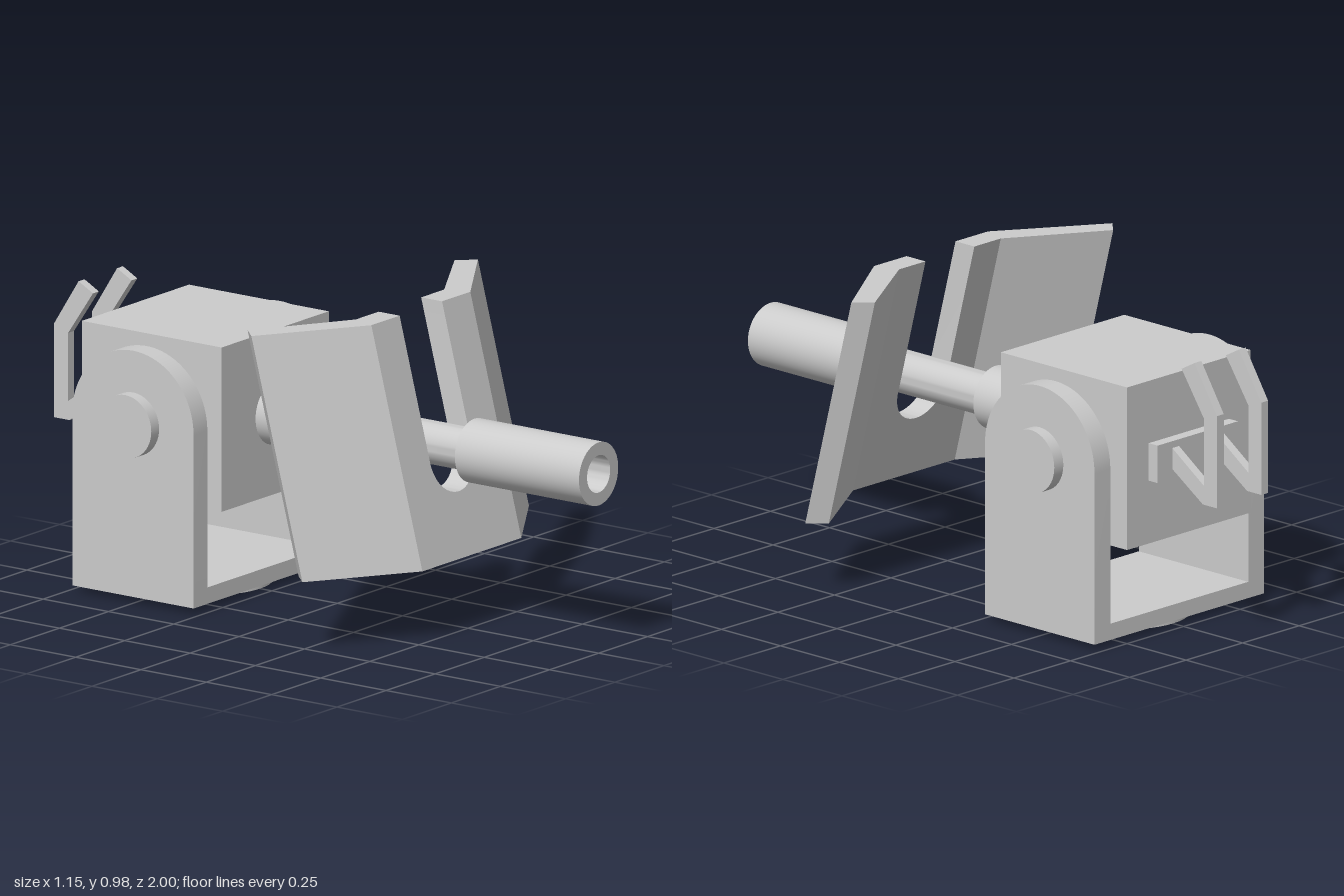
import * as THREE from 'three';
import { toCreasedNormals } from 'three/addons/utils/BufferGeometryUtils.js';

const PIVOT_Y = 0.567, PIVOT_Z = -0.5;
const SHIELD_BOTTOM = 0.235, SHIELD_TOP = 0.983, SHIELD_SLOPE = 0.261;

export function createModel() {
  const model = new THREE.Group();
  const material = new THREE.MeshStandardMaterial({ color: 0xcccccc });

  function add(name, geometry, x = 0, y = 0, z = 0) {
    const mesh = new THREE.Mesh(geometry, material);
    mesh.name = name;
    mesh.position.set(x, y, z);
    model.add(mesh);
    return mesh;
  }
  const polygon = (points) => new THREE.Shape(points.map(([x, y]) => new THREE.Vector2(x, y)));
  const extrude = (shape, depth) =>
    new THREE.ExtrudeGeometry(shape, { depth, bevelEnabled: false, curveSegments: 24 });
  // Side profile drawn as (-z, y), extruded along x and centred
  const sideways = (shape, width) =>
    toCreasedNormals(extrude(shape, width).translate(0, 0, -width / 2).rotateY(Math.PI / 2), 0.5);
  // Lean a shield part backwards, keeping its top and bottom level
  function lean(geometry) {
    const p = geometry.attributes.position;
    for (let i = 0; i < p.count; i++) {
      p.setZ(i, p.getZ(i) - SHIELD_SLOPE * (p.getY(i) - SHIELD_BOTTOM));
    }
    return toCreasedNormals(geometry, 0.5);
  }

  // Base disc and U-shaped bracket
  add('baseDisc', new THREE.CylinderGeometry(0.205, 0.205, 0.02, 48), 0, 0.01, PIVOT_Z);
  add('bracketFloor', new THREE.BoxGeometry(0.61, 0.052, 0.464), 0, 0.046, PIVOT_Z);
  const arm = new THREE.Shape();
  arm.moveTo(-0.232, 0.02);
  arm.lineTo(0.232, 0.02);
  arm.lineTo(0.232, PIVOT_Y);
  arm.absarc(0, PIVOT_Y, 0.232, 0, Math.PI, false);
  arm.closePath();
  const armGeometry = sideways(arm, 0.07);
  for (const [side, s] of [['left', 1], ['right', -1]]) {
    add(side + 'BracketArm', armGeometry, s * 0.34, 0, PIVOT_Z);
  }
  add('pivotPin', new THREE.CylinderGeometry(0.1, 0.1, 0.83, 48).rotateZ(Math.PI / 2), 0, PIVOT_Y, PIVOT_Z);

  // Receiver box
  add('receiver', new THREE.BoxGeometry(0.546, 0.52, 0.535), 0, 0.569, -0.505);

  // Stepped barrel with a stepped bore
  const barrel = [
    [0.1, -0.24], [0.1, 0.045], [0.067, 0.045], [0.067, 0.525], [0.1, 0.525], [0.1, 1],
    [0.059, 1], [0.059, 0.75], [0.04, 0.75], [0.04, 0.55], [0, 0.55],
  ].map(([r, z]) => new THREE.Vector2(r, z));
  add('barrel', toCreasedNormals(new THREE.LatheGeometry(barrel, 48).rotateX(Math.PI / 2), 0.5), 0, PIVOT_Y, 0);

  // Shield centre panel, slotted for the barrel
  const slot = 0.108, slotY = 0.536;
  const panel = new THREE.Shape();
  panel.moveTo(-0.252, SHIELD_BOTTOM);
  panel.lineTo(0.252, SHIELD_BOTTOM);
  panel.lineTo(0.252, SHIELD_TOP);
  panel.lineTo(slot, SHIELD_TOP);
  panel.lineTo(slot, slotY);
  panel.absarc(0, slotY, slot, 0, Math.PI, true);
  panel.lineTo(-slot, SHIELD_TOP);
  panel.lineTo(-0.252, SHIELD_TOP);
  panel.closePath();
  const panelGeometry = extrude(panel, 0.08);
  const p = panelGeometry.attributes.position;
  for (let i = 0; i < p.count; i++) {
    // Mitre the back edges where the wings fold
    if (Math.abs(p.getX(i)) > 0.25 && p.getZ(i) < 0.04) p.setX(i, Math.sign(p.getX(i)) * 0.225);
  }
  add('shieldCentre', lean(panelGeometry.translate(0, 0, 0.435)));

  // Shield wings swept back from the centre panel, plan drawn as (x, -z)
  for (const [side, s] of [['left', 1], ['right', -1]]) {
    const plan = polygon([
      [s * 0.252, -0.515], [s * 0.577, -0.3], [s * 0.527, -0.248], [s * 0.225, -0.435],
    ]);
    const wing = extrude(plan, SHIELD_TOP - SHIELD_BOTTOM).rotateX(-Math.PI / 2);
    add(side + 'ShieldWing', lean(wing.translate(0, SHIELD_BOTTOM, 0)));
  }

  // Rear plate with two bent handles
  add('handlePlate', new THREE.BoxGeometry(0.355, 0.12, 0.045), 0, 0.57, -0.788);
  const handle = polygon([
    [0.805, 0.545], [0.94, 0.455], [1, 0.455], [1, 0.75], [0.905, 0.9],
    [0.85, 0.87], [0.945, 0.73], [0.945, 0.515], [0.805, 0.612],
  ]);
  const handleGeometry = sideways(handle, 0.03);
  for (const [side, s] of [['left', 1], ['right', -1]]) {
    add(side + 'Handle', handleGeometry, s * 0.098, 0, 0);
  }
  return model;
}
